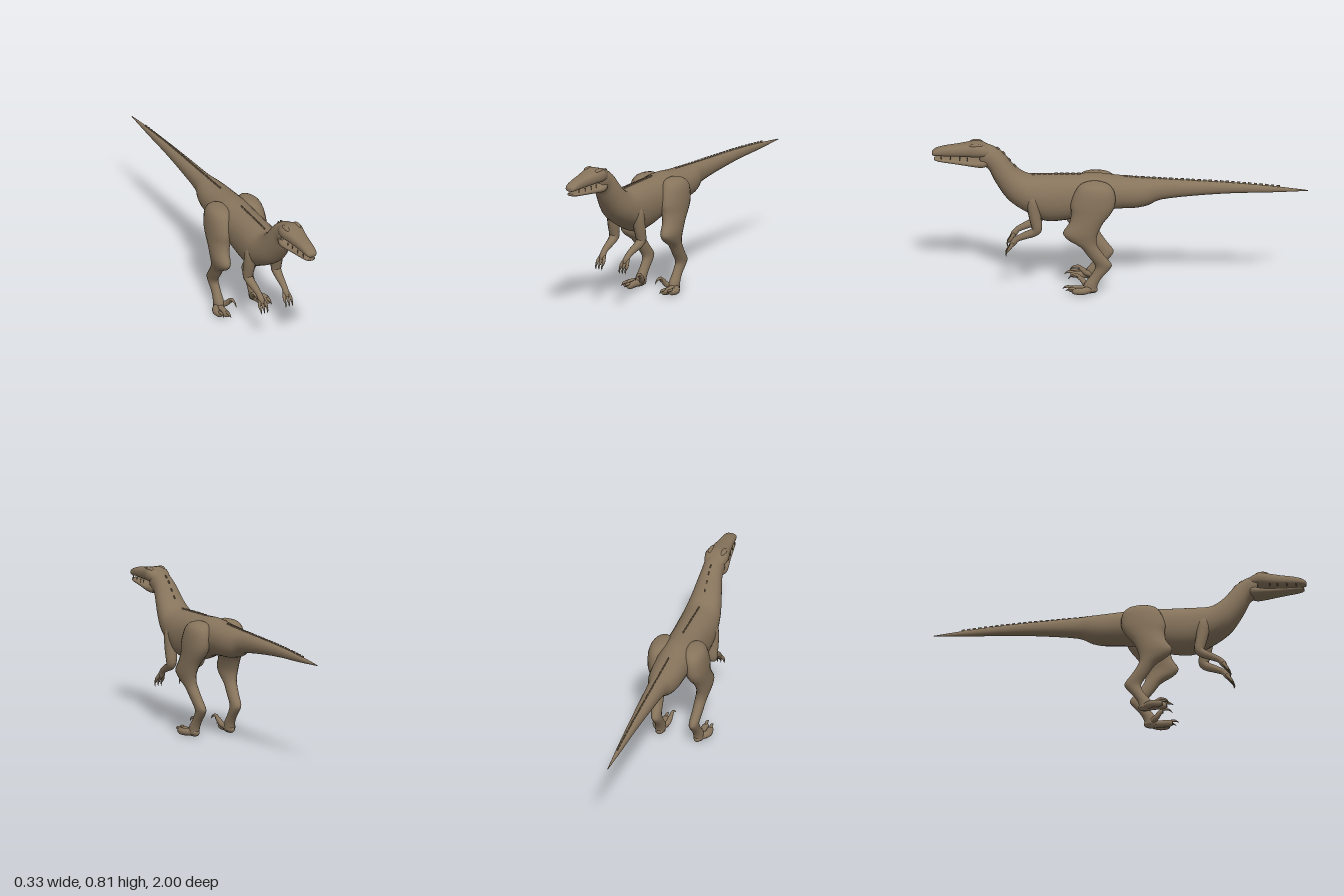
import * as THREE from 'three';

const V = (x, y, z) => new THREE.Vector3(x, y, z);

// Closed smooth skin over rings of points; winding is fixed by signed volume
function loft(rings) {
  const n = rings[0].length, pos = [], idx = [];
  rings.forEach(r => r.forEach(p => pos.push(p.x, p.y, p.z)));
  for (let i = 0; i < rings.length - 1; i++) {
    for (let j = 0; j < n; j++) {
      const a = i * n + j, b = i * n + (j + 1) % n;
      idx.push(a, b, a + n, b, b + n, a + n);
    }
  }
  [0, rings.length - 1].forEach((k, end) => {
    const c = rings[k].reduce((s, p) => s.add(p), V(0, 0, 0)).divideScalar(n);
    const ci = pos.length / 3;
    pos.push(c.x, c.y, c.z);
    for (let j = 0; j < n; j++) {
      const a = k * n + j, b = k * n + (j + 1) % n;
      if (end) idx.push(a, b, ci); else idx.push(b, a, ci);
    }
  });
  const at = i => V(pos[3 * i], pos[3 * i + 1], pos[3 * i + 2]);
  let volume = 0;
  for (let i = 0; i < idx.length; i += 3) {
    volume += at(idx[i]).dot(at(idx[i + 1]).cross(at(idx[i + 2])));
  }
  if (volume < 0) idx.reverse();
  const g = new THREE.BufferGeometry();
  g.setAttribute('position', new THREE.Float32BufferAttribute(pos, 3));
  g.setIndex(idx);
  g.computeVertexNormals();
  return g;
}

// Smoothly interpolates rows of numbers
function refine(rows, steps) {
  const out = [], last = rows.length - 1;
  for (let i = 0; i < last; i++) {
    const [a, b, c, d] = [rows[Math.max(i - 1, 0)], rows[i], rows[i + 1], rows[Math.min(i + 2, last)]];
    for (let k = 0; k < steps; k++) {
      const t = k / steps;
      out.push(b.map((v, m) => v + 0.5 * t * (c[m] - a[m]
        + t * (2 * a[m] - 5 * v + 4 * c[m] - d[m] + t * (3 * (v - c[m]) + d[m] - a[m])))));
    }
  }
  out.push(rows[last]);
  return out;
}

// Ring around a centre; power below 1 makes it squarer
function ring(c, u, v, n = 20, power = 1) {
  const f = t => Math.sign(t) * Math.abs(t) ** power;
  return Array.from({ length: n }, (_, j) => {
    const a = j / n * Math.PI * 2;
    return c.clone().addScaledVector(u, f(Math.cos(a))).addScaledVector(v, f(Math.sin(a)));
  });
}

// Rows: top z, top y, bottom z, bottom y, half width
function spineLoft(rows, power, steps = 3) {
  return loft(refine(rows, steps).map(([zt, yt, zb, yb, w]) => ring(
    V(0, (yt + yb) / 2, (zt + zb) / 2), V(w, 0, 0), V(0, (yt - yb) / 2, (zt - zb) / 2), 24, power)));
}

// Rows: y, x, z, radius across, radius along z
function columnLoft(rows, s) {
  return loft(refine(rows, 3).map(([y, x, z, rx, rz]) => ring(V(s * x, y, z), V(rx, 0, 0), V(0, 0, rz))));
}

// Tapered tube through rows: x, y, z, radius
function taper(rows, s, n = 12) {
  const r = refine(rows.map(([x, y, z, w]) => [s * x, y, z, w]), 4);
  return loft(r.map((p, i) => {
    const a = r[Math.max(i - 1, 0)], b = r[Math.min(i + 1, r.length - 1)];
    const t = V(b[0] - a[0], b[1] - a[1], b[2] - a[2]).normalize();
    const u = V(1, 0, 0).addScaledVector(t, -t.x).normalize();
    const v = t.clone().cross(u);
    return ring(V(p[0], p[1], p[2]), u.multiplyScalar(p[3]), v.multiplyScalar(p[3]), n);
  }));
}

const BODY = [
  [-1, 0.562, -1, 0.558, 0.002], [-0.8, 0.583, -0.8, 0.547, 0.015],
  [-0.6, 0.598, -0.6, 0.54, 0.026], [-0.4, 0.607, -0.4, 0.524, 0.038],
  [-0.22, 0.614, -0.22, 0.5, 0.05], [-0.15, 0.617, -0.15, 0.468, 0.072],
  [-0.08, 0.62, -0.08, 0.453, 0.085], [0.02, 0.627, 0.02, 0.447, 0.09],
  [0.12, 0.637, 0.12, 0.43, 0.095], [0.22, 0.632, 0.22, 0.395, 0.1],
  [0.32, 0.63, 0.32, 0.374, 0.102], [0.41, 0.628, 0.4, 0.374, 0.105],
  [0.49, 0.628, 0.49, 0.418, 0.102], [0.54, 0.655, 0.57, 0.468, 0.092],
  [0.58, 0.695, 0.62, 0.52, 0.08], [0.62, 0.745, 0.67, 0.6, 0.066],
  [0.665, 0.778, 0.695, 0.652, 0.057], [0.71, 0.795, 0.72, 0.672, 0.056], [0.75, 0.8, 0.74, 0.676, 0.05],
];
const SKULL = [
  [0.68, 0.775, 0.68, 0.73, 0.04], [0.72, 0.797, 0.72, 0.728, 0.058],
  [0.76, 0.808, 0.76, 0.727, 0.064], [0.81, 0.801, 0.81, 0.727, 0.054],
  [0.87, 0.79, 0.87, 0.727, 0.044], [0.93, 0.781, 0.93, 0.727, 0.037],
  [0.975, 0.768, 0.975, 0.727, 0.032], [0.995, 0.755, 0.995, 0.729, 0.024], [1, 0.748, 1, 0.733, 0.012],
];
const JAW = [
  [0.69, 0.735, 0.69, 0.68, 0.045], [0.73, 0.725, 0.73, 0.67, 0.06],
  [0.77, 0.714, 0.77, 0.674, 0.059], [0.83, 0.712, 0.83, 0.681, 0.048],
  [0.91, 0.714, 0.91, 0.69, 0.037], [0.965, 0.716, 0.965, 0.697, 0.03],
  [0.988, 0.716, 0.988, 0.703, 0.018],
];
const LEG = [
  [0.622, 0.08, 0.13, 0.015, 0.03], [0.608, 0.09, 0.13, 0.045, 0.075],
  [0.57, 0.098, 0.13, 0.058, 0.105], [0.5, 0.105, 0.14, 0.059, 0.118],
  [0.45, 0.11, 0.15, 0.054, 0.105], [0.4, 0.12, 0.175, 0.045, 0.09],
  [0.345, 0.126, 0.205, 0.04, 0.093], [0.305, 0.123, 0.195, 0.036, 0.075],
  [0.265, 0.118, 0.16, 0.031, 0.047], [0.21, 0.112, 0.12, 0.028, 0.045],
  [0.165, 0.107, 0.086, 0.026, 0.046], [0.135, 0.104, 0.09, 0.025, 0.04],
  [0.09, 0.104, 0.123, 0.024, 0.034], [0.05, 0.106, 0.15, 0.027, 0.037], [0.012, 0.108, 0.155, 0.026, 0.035],
];

export function createModel() {
  const model = new THREE.Group();
  const hide = new THREE.MeshStandardMaterial({ color: 0x87745c });
  hide.name = 'brown hide';
  const add = (name, geometry, parent = model) => {
    const m = new THREE.Mesh(geometry, hide);
    m.name = name;
    parent.add(m);
    return m;
  };

  add('bodyNeckAndTail', spineLoft(BODY, 0.93));
  add('skull', spineLoft(SKULL, 0.8));
  add('lowerJaw', spineLoft(JAW, 0.8));

  // Small scutes along the back, in three runs
  const scutes = new THREE.Group();
  scutes.name = 'backScutes';
  model.add(scutes);
  const top = refine(BODY, 6);
  for (const [from, to] of [[-0.84, -0.01], [0.22, 0.47], [0.56, 0.66]]) {
    for (let z = from; z < to; z += 0.03) {
      const i = top.findIndex(r => r[0] >= z), a = top[i - 1], b = top[i];
      const y = a[1] + (b[1] - a[1]) * (z - a[0]) / (b[0] - a[0]);
      const m = add('scute', new THREE.BoxGeometry(0.005, 0.012, 0.018), scutes);
      m.position.set(0, y + 0.002, z);
      m.rotation.x = -Math.atan2(b[1] - a[1], b[0] - a[0]);
    }
  }

  for (const s of [1, -1]) {
    const side = s > 0 ? 'left' : 'right';

    // Brow ridge and teeth
    const brow = add(side + 'Brow', new THREE.SphereGeometry(1, 16, 10));
    brow.scale.set(0.014, 0.013, 0.035);
    brow.position.set(s * 0.035, 0.796, 0.765);
    for (const [x, z] of [[0.047, 0.81], [0.042, 0.85], [0.037, 0.9], [0.031, 0.95]]) {
      const tooth = add(side + 'Tooth', new THREE.ConeGeometry(0.004, 0.022, 6));
      tooth.rotation.x = Math.PI;
      tooth.position.set(s * x, 0.722, z);
    }

    // Hind leg, toes and raised sickle claw
    add(side + 'Leg', columnLoft(LEG, s));
    add(side + 'Heel', taper([[0.107, 0.022, 0.115, 0.008], [0.107, 0.022, 0.13, 0.02],
      [0.11, 0.024, 0.17, 0.024], [0.115, 0.022, 0.21, 0.012]], s));
    for (const [x, z] of [[0.112, 0.01], [0.145, -0.01]]) {
      add(side + 'Toe', taper([[0.11, 0.024, 0.15, 0.02], [x, 0.022, 0.2 + z, 0.019],
        [x, 0.022, 0.24 + z, 0.018], [x, 0.022, 0.258 + z, 0.011]], s));
      add(side + 'ToeClaw', taper([[x, 0.032, 0.24 + z, 0.009], [x, 0.036, 0.268 + z, 0.007],
        [x, 0.024, 0.292 + z, 0.001]], s, 8));
    }
    add(side + 'SickleToe', taper([[0.1, 0.03, 0.155, 0.018], [0.078, 0.045, 0.185, 0.015],
      [0.07, 0.068, 0.205, 0.013], [0.068, 0.072, 0.222, 0.009]], s));
    add(side + 'SickleClaw', taper([[0.069, 0.068, 0.205, 0.011], [0.067, 0.085, 0.225, 0.009],
      [0.065, 0.08, 0.255, 0.005], [0.064, 0.06, 0.273, 0.001]], s, 8));

    // Arm, hand and three clawed fingers
    add(side + 'Arm', taper([[0.075, 0.55, 0.46, 0.015], [0.079, 0.5, 0.46, 0.033],
      [0.083, 0.42, 0.45, 0.032], [0.085, 0.355, 0.438, 0.028], [0.084, 0.33, 0.455, 0.024],
      [0.08, 0.31, 0.5, 0.02], [0.077, 0.288, 0.545, 0.016], [0.075, 0.262, 0.567, 0.017],
      [0.075, 0.245, 0.577, 0.01]], s));
    for (const x of [0.056, 0.075, 0.094]) {
      const k = (x - 0.075) * 0.5;
      add(side + 'Finger', taper([[0.075 + k, 0.265, 0.565, 0.01], [x, 0.24, 0.583, 0.0085],
        [x, 0.222, 0.595, 0.006]], s, 8));
      add(side + 'FingerClaw', taper([[x, 0.23, 0.592, 0.005], [x, 0.212, 0.602, 0.004],
        [x, 0.195, 0.6, 0.0008]], s, 8));
    }
  }
  return model;
}
